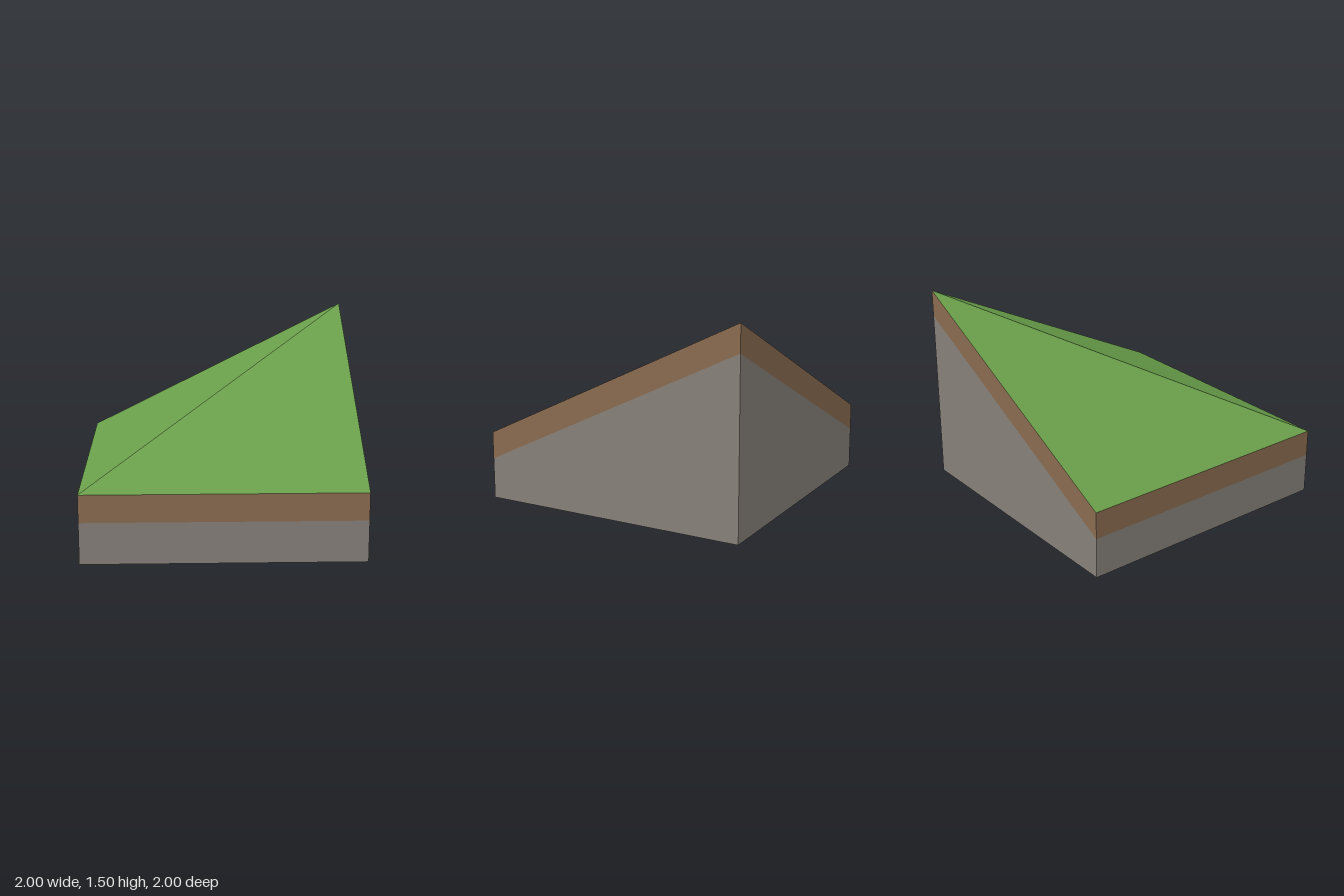
import * as THREE from 'three';

export function createModel() {
  const material = (name, color) =>
    new THREE.MeshStandardMaterial({ name, color, side: THREE.DoubleSide, flatShading: true });
  const grass = material('grass green', 0x6a9f4a);
  const soil = material('soil brown', 0x8a6b50);
  const stone = material('stone grey', 0x868079);

  const group = new THREE.Group();
  group.name = 'cornerSlopeTile';

  // Flat polygon with corners listed counter-clockwise from its front
  const addFace = (name, corners, mat) => {
    const geometry = new THREE.BufferGeometry();
    geometry.setAttribute('position', new THREE.Float32BufferAttribute(corners.flat(), 3));
    geometry.setIndex(corners.length === 4 ? [0, 1, 2, 0, 2, 3] : [0, 1, 2]);
    geometry.computeVertexNormals();
    const mesh = new THREE.Mesh(geometry, mat);
    mesh.name = name;
    group.add(mesh);
  };

  // Top corners, counter-clockwise from above; the back left one is raised
  const top = [[-1, 0.5, 1], [1, 0.5, 1], [1, 1.5, -1], [-1, 0.5, -1]];
  const soilDepth = 0.2;

  // Grass surface, folded along the diagonal to the raised corner
  addFace('frontSlope', [top[0], top[1], top[2]], grass);
  addFace('backSlope', [top[0], top[2], top[3]], grass);

  // Hollow sides: a soil band following the slope, with stone below
  ['front', 'left', 'back', 'right'].forEach((side, i) => {
    const a = top[i], b = top[(i + 1) % 4];
    const lower = ([x, y, z]) => [x, y - soilDepth, z];
    const ground = ([x, , z]) => [x, 0, z];
    addFace(side + 'SoilBand', [lower(a), lower(b), b, a], soil);
    addFace(side + 'StoneWall', [ground(a), ground(b), lower(b), lower(a)], stone);
  });

  return group;
}
